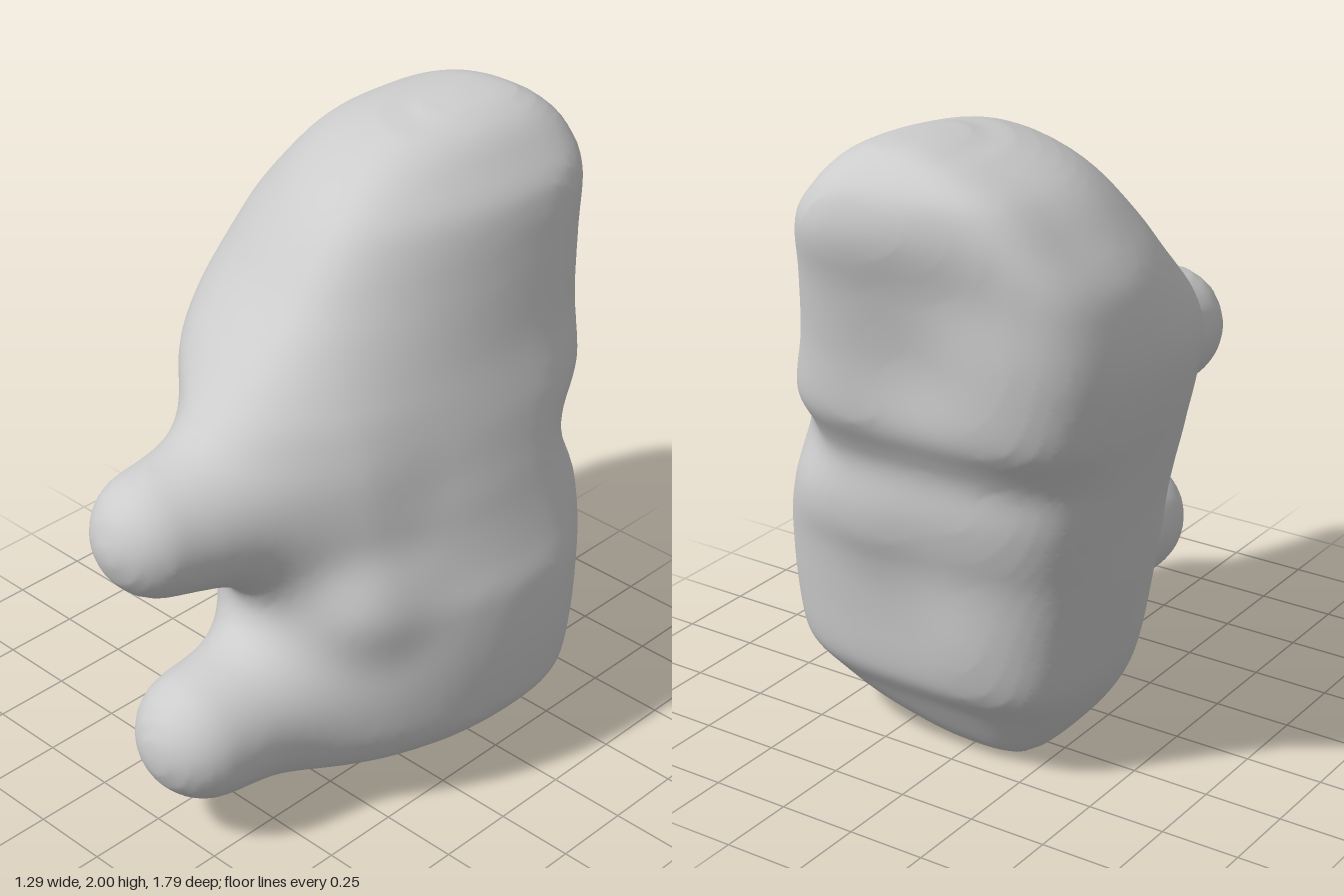
import * as THREE from 'three';

// Body outline by height: y, left edge, right edge, back edge
const OUTLINE = [
  [0, -0.16, 0.04, -0.36], [0.02, -0.21, 0.14, -0.41], [0.06, -0.25, 0.28, -0.45], [0.12, -0.3, 0.45, -0.49],
  [0.2, -0.35, 0.56, -0.54], [0.3, -0.395, 0.63, -0.605], [0.5, -0.445, 0.645, -0.63], [0.7, -0.49, 0.63, -0.66],
  [0.8, -0.51, 0.595, -0.69], [0.93, -0.54, 0.555, -0.71], [1.01, -0.56, 0.535, -0.71], [1.1, -0.585, 0.51, -0.75],
  [1.2, -0.615, 0.485, -0.81], [1.4, -0.648, 0.42, -0.835], [1.6, -0.615, 0.375, -0.86], [1.78, -0.51, 0.33, -0.9],
  [1.88, -0.42, 0.25, -0.88], [1.95, -0.28, 0.18, -0.82], [1.985, -0.15, 0.11, -0.77], [2, -0.06, 0.05, -0.7],
];

// Body front by height: y, front edge, x of the ridge line
const FRONT = [
  [0, 0, -0.06], [0.06, 0.23, 0], [0.12, 0.38, 0.07], [0.2, 0.43, 0.11], [0.5, 0.44, 0.14], [0.7, 0.44, 0.14],
  [1.05, 0.45, 0.07], [1.2, 0.48, 0.05], [1.3, 0.48, 0.04], [1.4, 0.42, 0.04], [1.5, 0.32, 0.05],
  [1.6, 0.22, 0.06], [1.7, 0.14, 0.06], [1.8, 0.05, 0.06], [1.9, -0.1, 0.04], [1.95, -0.22, 0.02],
  [1.98, -0.35, 0.01], [2, -0.53, 0],
];

// Rounded knobs: start, end, start radius, end radius
const V = (x, y, z) => new THREE.Vector3(x, y, z);
const KNOBS = [
  { a: V(0.07, 1.05, 0.2), b: V(0, 1.04, 0.705), ra: 0.31, rb: 0.2 },
  { a: V(0.15, 0.38, 0.2), b: V(0.11, 0.35, 0.65), ra: 0.26, rb: 0.21 },
  { a: V(0.34, 0.74, 0.1), b: V(0.37, 0.74, 0.22), ra: 0.1, rb: 0.1 },
];

// Hollows (+) and swellings (-) of the back: x, y, amount, radius
const LUMPS = [[-0.3, 1.72, 0.05, 0.22], [-0.1, 1.38, 0.04, 0.2], [0.4, 1.03, 0.04, 0.12],
  [0.15, 0.8, -0.02, 0.15], [-0.15, 0.45, -0.02, 0.15]];

// Smooth interpolation without overshoot of one table column
function sample(rows, y, col) {
  let i = 0;
  while (i < rows.length - 2 && y > rows[i + 1][0]) i++;
  const slope = (k) => k < 0 || k > rows.length - 2 ? null
    : (rows[k + 1][col] - rows[k][col]) / (rows[k + 1][0] - rows[k][0]);
  const tangent = (k) => {
    const a = slope(k - 1), b = slope(k);
    if (a === null || b === null) return a === null ? b : a;
    return a * b <= 0 ? 0 : (2 * a * b) / (a + b);
  };
  const h = rows[i + 1][0] - rows[i][0], t = (y - rows[i][0]) / h, t2 = t * t, t3 = t2 * t;
  return (2 * t3 - 3 * t2 + 1) * rows[i][col] + (t3 - 2 * t2 + t) * h * tangent(i)
    + (3 * t2 - 2 * t3) * rows[i + 1][col] + (t3 - t2) * h * tangent(i + 1);
}

// Signed distance to the whole form within one level of height
function levelField(y) {
  const yc = THREE.MathUtils.clamp(y, 0, 2);
  const [xL, xR, zB] = [1, 2, 3].map((c) => sample(OUTLINE, yc, c));
  const [zF, xc] = [1, 2].map((c) => sample(FRONT, yc, c));
  const zW = zB + 0.37 * (zF - zB);
  const p = V(0, 0, 0), ab = V(0, 0, 0), ap = V(0, 0, 0);
  return (x, z) => {
    // section: tapering front, squarer back
    const dx = x - xc, dz = z - zW;
    const n = dz > 0 ? (dx < 0 ? 1.8 : 2) : dx < 0 ? 3.8 : 2.8;
    const u = Math.abs(dx / (dx < 0 ? xL - xc : xR - xc)), v = Math.abs(dz / (dz < 0 ? zB - zW : zF - zW));
    const q = Math.max((u ** n + v ** n) ** (1 / n), 0.05);
    let d = Math.hypot(dx, dz) * (1 - 1 / q);
    const back = THREE.MathUtils.smoothstep(-z, 0.35, 0.65);
    for (const [lx, ly, amount, r] of LUMPS) {
      d += back * amount * Math.exp(-((x - lx) ** 2 + (y - ly) ** 2) / (r * r));
    }
    d = Math.max(d, -y, y - 2);
    // blend the knobs in
    for (const { a, b, ra, rb } of KNOBS) {
      p.set(x, y, z);
      ab.subVectors(b, a);
      ap.subVectors(p, a);
      const t = THREE.MathUtils.clamp(ap.dot(ab) / ab.lengthSq(), 0, 1);
      const e = ap.addScaledVector(ab, -t).length() - (ra + (rb - ra) * t);
      const k = 0.16, blend = Math.max(k - Math.abs(d - e), 0) / k;
      d = Math.min(d, e) - (blend * blend * k) / 4;
    }
    return d;
  };
}

// Skin the field with one vertex per crossed cell and one quad per crossed edge
function skinGeometry(step = 0.025) {
  const min = [-0.8, -0.0625, -1.05], size = [64, 86, 84];
  const stride = [1, size[0], size[0] * size[1]];
  const field = new Float32Array(size[0] * size[1] * size[2]);
  for (let j = 0; j < size[1]; j++) {
    const f = levelField(min[1] + j * step);
    for (let k = 0; k < size[2]; k++) {
      for (let i = 0; i < size[0]; i++) {
        field[i + j * stride[1] + k * stride[2]] = f(min[0] + i * step, min[2] + k * step);
      }
    }
  }
  const cells = new Map(), positions = [], index = [];
  const forCells = (visit) => {
    for (let k = 1; k < size[2] - 1; k++)
      for (let j = 1; j < size[1] - 1; j++)
        for (let i = 1; i < size[0] - 1; i++) visit([i, j, k], i + j * stride[1] + k * stride[2]);
  };
  forCells((cell, at) => {
    const sum = [0, 0, 0];
    let count = 0;
    for (let axis = 0; axis < 3; axis++) {
      const b = (axis + 1) % 3, c = (axis + 2) % 3;
      for (let corner = 0; corner < 4; corner++) {
        const ob = corner & 1, oc = corner >> 1, from = at + ob * stride[b] + oc * stride[c];
        const d0 = field[from], d1 = field[from + stride[axis]];
        if (d0 < 0 === d1 < 0) continue;
        sum[axis] += d0 / (d0 - d1);
        sum[b] += ob;
        sum[c] += oc;
        count++;
      }
    }
    if (!count) return;
    cells.set(at, positions.length / 3);
    positions.push(...sum.map((s, a) => min[a] + step * (cell[a] + s / count)));
  });
  forCells((cell, at) => {
    for (let axis = 0; axis < 3; axis++) {
      const inside = field[at] < 0;
      if (inside === field[at + stride[axis]] < 0) continue;
      const b = stride[(axis + 1) % 3], c = stride[(axis + 2) % 3];
      const quad = [at - b - c, at - c, at, at - b].map((id) => cells.get(id));
      if (!inside) quad.reverse();
      index.push(quad[0], quad[1], quad[2], quad[0], quad[2], quad[3]);
    }
  });
  // relax the skin a little
  for (let pass = 0; pass < 5; pass++) {
    const sum = new Float32Array(positions.length), count = new Float32Array(positions.length / 3);
    index.forEach((v, n) => {
      const w = index[n % 3 === 2 ? n - 2 : n + 1];
      for (let a = 0; a < 3; a++) sum[v * 3 + a] += positions[w * 3 + a];
      count[v]++;
    });
    for (let n = 0; n < positions.length; n++) {
      positions[n] += 0.5 * (sum[n] / count[Math.floor(n / 3)] - positions[n]);
    }
  }
  const geometry = new THREE.BufferGeometry();
  geometry.setAttribute('position', new THREE.Float32BufferAttribute(positions, 3));
  geometry.setIndex(index);
  geometry.computeVertexNormals();
  return geometry;
}

export function createModel() {
  const group = new THREE.Group();
  group.name = 'smoothForm';
  const grey = new THREE.MeshStandardMaterial({ color: 0xcccccc });
  grey.name = 'grey';
  const body = new THREE.Mesh(skinGeometry(), grey);
  body.name = 'body';
  group.add(body);
  return group;
}
